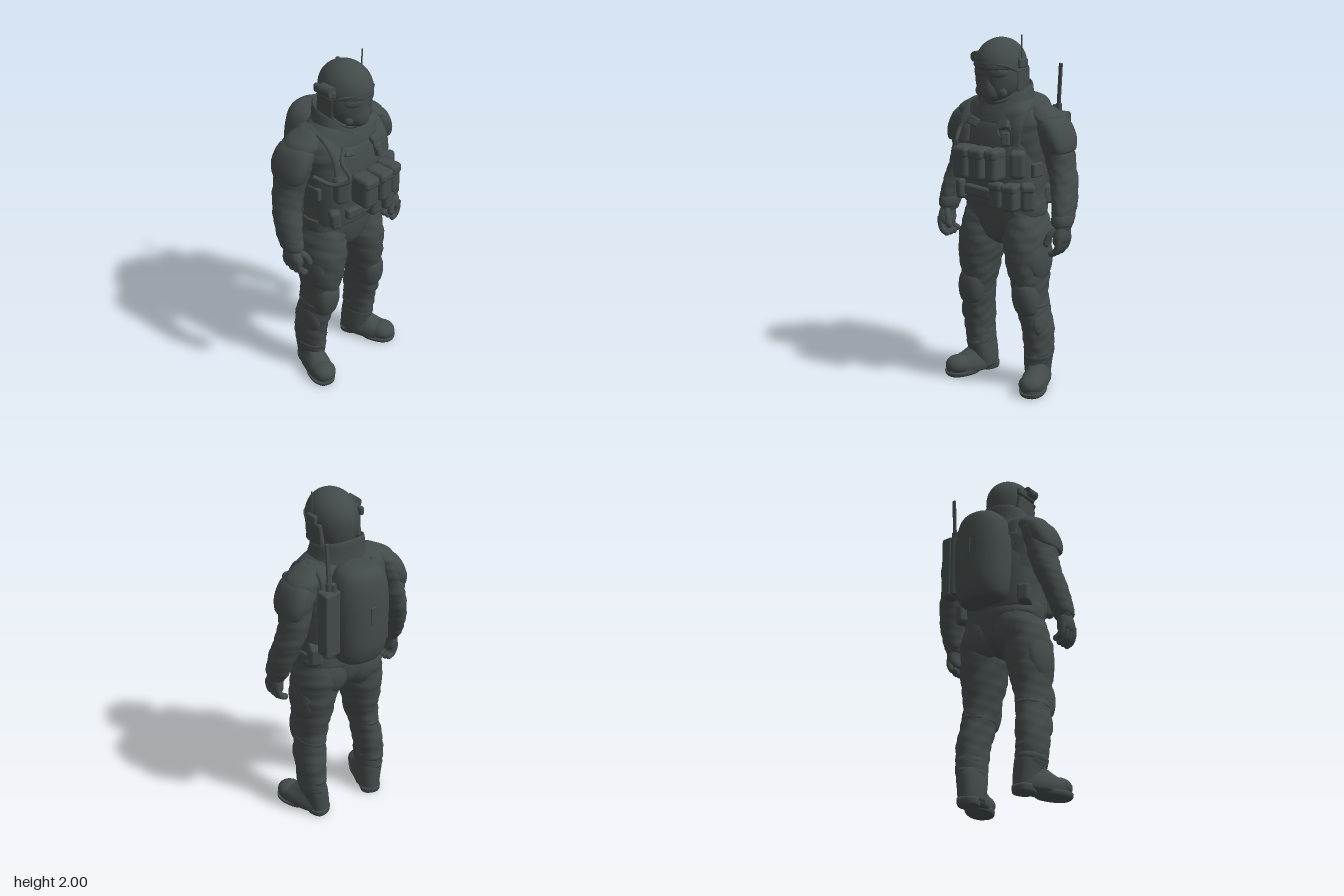
import * as THREE from 'three';
import { RoundedBoxGeometry } from 'three/addons/geometries/RoundedBoxGeometry.js';

const fabric = new THREE.MeshStandardMaterial({ color: 0x434b4a, side: THREE.DoubleSide });
fabric.name = 'dark grey gear';

// Superellipse loft through ascending rings [x, y, z, rx, rz]; fold adds cloth wrinkles
function loft(keys, { n = 2, rows = 4, segs = 28, fold = 0, freq = 70, cap = true } = {}) {
  const pos = [], idx = [], last = (keys.length - 1) * rows;
  const at = (t, c) => {
    const i = Math.min(Math.floor(t), keys.length - 2), f = t - i;
    const k = (j) => keys[Math.max(0, Math.min(keys.length - 1, j))][c];
    const m0 = (k(i + 1) - k(i - 1)) / 2, m1 = (k(i + 2) - k(i)) / 2;
    const f2 = f * f, f3 = f2 * f;
    return k(i) * (2 * f3 - 3 * f2 + 1) + m0 * (f3 - 2 * f2 + f) + k(i + 1) * (3 * f2 - 2 * f3) + m1 * (f3 - f2);
  };
  for (let r = 0; r <= last; r++) {
    const [x, y, z, rx, rz] = [0, 1, 2, 3, 4].map((c) => at(r / rows, c));
    for (let s = 0; s < segs; s++) {
      const a = (s / segs) * Math.PI * 2, c = Math.cos(a), d = Math.sin(a);
      const w = 1 + fold * Math.sin(y * freq + 2.2 * c + 1.6 * Math.sin(2 * a)) * Math.sin(y * freq * .37 + 3 * d - 2 * c);
      pos.push(x + Math.sign(c) * Math.abs(c) ** (2 / n) * rx * w, y, z + Math.sign(d) * Math.abs(d) ** (2 / n) * rz * w);
      if (r < last) {
        const p = r * segs + s, q = r * segs + (s + 1) % segs;
        idx.push(p, p + segs, q, q, p + segs, q + segs);
      }
    }
  }
  if (cap) {
    const b = keys[0], t = keys[keys.length - 1], bi = pos.length / 3;
    pos.push(b[0], b[1], b[2], t[0], t[1], t[2]);
    for (let s = 0; s < segs; s++) {
      const e = (s + 1) % segs;
      idx.push(bi, s, e, bi + 1, last * segs + e, last * segs + s);
    }
  }
  const g = new THREE.BufferGeometry();
  g.setAttribute('position', new THREE.Float32BufferAttribute(pos, 3));
  g.setIndex(idx);
  g.computeVertexNormals();
  return g;
}

export function createModel() {
  const model = new THREE.Group();
  model.name = 'armouredSoldier';
  const add = (name, geo, p = [0, 0, 0], r = [0, 0, 0]) => {
    const m = new THREE.Mesh(geo, fabric);
    m.name = name;
    m.position.set(...p);
    m.rotation.set(...r);
    model.add(m);
    return m;
  };
  const box = (name, size, p, r, rad = 0.015) => add(name, new RoundedBoxGeometry(...size, 2, rad), p, r);
  const ball = (name, size, p, r) => add(name, new THREE.SphereGeometry(1, 20, 14).scale(...size), p, r);
  const rod = (name, rad, h, p, r) => add(name, new THREE.CylinderGeometry(rad, rad, h, 12), p, r);
  const tube = (name, pts, rad, wide = 1, x = 0) => add(name, new THREE.TubeGeometry(
    new THREE.CatmullRomCurve3(pts.map((p) => new THREE.Vector3(...p))), 24, rad, 8).scale(wide, 1, 1), [x, 0, 0]);

  // Jacket, pelvis and vest
  add('pelvis', loft([[0, .835, 0, .04, .07], [0, .89, -.005, .13, .13], [0, 1, -.005, .235, .155], [0, 1.1, 0, .24, .155]], { n: 2.3, fold: .01 }));
  add('jacket', loft([[0, 1.0, -.01, .225, .145], [0, 1.03, -.01, .24, .155], [0, 1.1, 0, .235, .152], [0, 1.25, 0, .235, .155], [0, 1.4, 0, .25, .16],
    [0, 1.5, 0, .262, .16], [0, 1.57, 0, .25, .15], [0, 1.62, 0, .205, .13], [0, 1.66, 0, .145, .11]], { n: 2.5, fold: .03, freq: 60 }));
  add('vest', loft([[0, 1.07, .01, .21, .16], [0, 1.09, .01, .23, .172], [0, 1.3, .01, .232, .18], [0, 1.42, .01, .22, .175],
    [0, 1.52, .01, .18, .155], [0, 1.55, .01, .15, .13]], { n: 2.7 }));

  // Standing collar, higher at the back
  const collar = loft([[0, 1.56, .01, .2, .15], [0, 1.63, .01, .165, .14], [0, 1.7, .0, .15, .128], [0, 1.715, 0, .138, .116], [0, 1.64, .01, .12, .1]], { n: 2.3, cap: false });
  const cp = collar.attributes.position;
  for (let i = 0; i < cp.count; i++) cp.setY(i, cp.getY(i) - .28 * cp.getZ(i) * Math.min(1, (cp.getY(i) - 1.55) * 10));
  collar.computeVertexNormals();
  add('collar', collar);

  // Hooded face with a tapering mask
  add('face', loft([[0, 1.6, .02, .09, .09], [0, 1.65, .07, .075, .09], [0, 1.69, .075, .106, .105], [0, 1.75, .07, .128, .118], [0, 1.83, .06, .128, .132], [0, 1.9, .05, .1, .11]]));
  add('breathingMask', loft([[0, 1.65, .14, .03, .03], [0, 1.67, .14, .055, .05], [0, 1.71, .145, .06, .053], [0, 1.77, .145, .042, .048], [0, 1.84, .15, .02, .04]]));
  for (const s of [-1, 1]) {
    ball('goggleLens', [.055, .036, .026], [s * .055, 1.805, .158], [0, s * .45, 0]);
    ball('maskFilter', [.03, .035, .025], [s * .07, 1.7, .138]);
    box('earCup', [.03, .13, .12], [s * .119, 1.765, .02], [.12, 0, s * -.04], .014);
    tube('chinStrap', [[s * .125, 1.75, .03], [s * .112, 1.69, .075], [s * .06, 1.65, .13], [0, 1.645, .15]], .009);
  }

  // Helmet, cut high over the face and low at the back
  const helmet = new THREE.SphereGeometry(1, 32, 20, 0, Math.PI * 2, 0, Math.PI * .64);
  const hp = helmet.attributes.position;
  for (let i = 0; i < hp.count; i++) {
    const x = hp.getX(i), y = hp.getY(i), z = hp.getZ(i);
    const low = z > .25 ? .03 : .24;
    hp.setXYZ(i, x * .133, 1.83 + (y > 0 ? y ** .95 * .152 : y * low), z * .16 + .047);
  }
  helmet.computeVertexNormals();
  add('helmet', helmet);
  tube('helmetBrow', [[-.128, 1.8, .05], [-.105, 1.84, .142], [0, 1.855, .198], [.105, 1.84, .142], [.128, 1.8, .05]], .009);
  rod('helmetLamp', .03, .075, [-.144, 1.87, .055], [Math.PI / 2, 0, 0]);
  box('lampMount', [.03, .05, .15], [-.133, 1.85, .025]);
  box('helmetRadio', [.03, .05, .075], [.131, 1.85, .035], [0, 0, 0], .01);
  rod('helmetAntenna', .004, .17, [.13, 1.915, .04]);

  // Chest gear
  for (const [x, w, z] of [[-.08, .1, .265], [.025, .092, .272], [.112, .074, .258]]) {
    box('magazinePouch', [w, .165, .125], [x, 1.325, z], [0, x * .5, 0], .025);
    box('pouchFlap', [w + .004, .06, .13], [x, 1.388, z + .003], [0, x * .5, 0], .022);
  }
  for (const x of [.19, -.158]) box('sidePouch', [.085, .15, .1], [x, 1.325, .165], [0, x * 3, 0], .025);
  for (const [x, w, z, a] of [[.075, .08, .175, 0], [.165, .085, .185, .15], [.23, .075, .125, .7]]) {
    box('beltPouch', [w, .15, .1], [x, 1.145, z], [0, a, 0], .022);
    box('beltPouchFlap', [w + .004, .05, .105], [x, 1.195, z + .003], [0, a, 0], .02);
  }
  box('holster', [.18, .06, .04], [-.05, 1.15, .19], [0, 0, -.08]);
  box('holsterGrip', [.06, .11, .07], [-.19, 1.14, .15], [0, -.5, .1], .02);
  box('chestRadio', [.055, .08, .045], [.12, 1.455, .17], [-.2, .3, .15]);
  add('cableLoop', new THREE.TorusGeometry(.038, .008, 8, 20), [.11, 1.5, .175], [-.2, .4, 0]);
  tube('breathingHose', [[-.12, 1.56, .15], [-.17, 1.5, .185], [-.165, 1.42, .24], [-.22, 1.38, .17], [-.28, 1.42, .08]], .012);

  // Backpack, rounded towards the back, with side radio
  add('backpack', loft([[0, 1.09, -.21, .09, .07], [0, 1.105, -.205, .135, .1], [0, 1.2, -.2, .16, .132], [0, 1.4, -.2, .168, .137],
    [0, 1.54, -.2, .155, .13], [0, 1.62, -.2, .12, .108], [0, 1.65, -.2, .065, .06]], { n: 2.25 }));
  box('packHandle', [.035, .1, .012], [0, 1.4, -.334], [0, 0, 0], .005);
  box('radioPouch', [.07, .38, .09], [.222, 1.37, -.225], [0, 0, 0], .015);
  rod('radioCylinder', .04, .36, [.185, 1.37, -.225]);
  rod('radioKnob', .016, .05, [.18, 1.57, -.225]);
  rod('radioAntennaBase', .016, .06, [.205, 1.575, -.217]);
  box('radioAntenna', [.022, .25, .014], [.208, 1.705, -.217], [0, 0, -.05], .005);

  for (const s of [-1, 1]) {
    // Shoulder straps with buckles
    tube('shoulderStrap', [[0, 1.42, .17], [0, 1.52, .15], [0, 1.595, .085], [0, 1.63, -.02], [0, 1.595, -.13], [0, 1.48, -.165]], .013, 3.2, s * .17);
    box('strapBuckle', [.065, .05, .03], [s * .1, 1.53, .165], [-.5, 0, s * .3], .01);
    box('sideBuckle', [.03, .08, .09], [s * .233, 1.28, .04], [0, 0, 0], .01);
    box('hipPouch', [.07, .11, .1], [s * .215, 1.12, -.1], [0, s * -.4, 0], .02);

    // Sleeves and shoulder pads
    add('sleeve', loft([[s * .388, .97, .02, .043, .055], [s * .386, 1.03, .005, .055, .08], [s * .375, 1.12, -.02, .064, .09],
      [s * .35, 1.22, -.05, .071, .092], [s * .322, 1.32, -.06, .074, .1], [s * .3, 1.43, -.05, .08, .112],
      [s * .27, 1.52, -.045, .082, .113], [s * .235, 1.585, -.035, .08, .1], [s * .19, 1.635, -.03, .04, .05]], { fold: .05, freq: 85, rows: 6 }));
    add('shoulderPad', loft([[s * .34, 1.375, -.045, .035, .07], [s * .342, 1.39, -.045, .052, .1], [s * .322, 1.46, -.045, .066, .12],
      [s * .28, 1.545, -.04, .07, .108], [s * .25, 1.59, -.035, .04, .06]], { n: 2.5 }));
    add('cuff', loft([[s * .388, .985, .02, .046, .062], [s * .388, 1.0, .018, .055, .075], [s * .386, 1.04, .01, .057, .078], [s * .384, 1.055, .005, .05, .07]], { rows: 2 }));

    // Gloved hand, fingers curled in
    add('palm', loft([[s * .385, .885, .035, .025, .045], [s * .392, .91, .035, .036, .062], [s * .396, .95, .03, .036, .06], [s * .39, 1.0, .02, .036, .045]], { n: 2.4 }));
    for (let f = 0; f < 4; f++) {
      const z = .085 - f * .033, d = f === 3 ? .012 : 0;
      tube('finger', [[s * .405, .93, z], [s * .402, .885 + d, z], [s * .385, .85 + d, z], [s * .36, .838 + d, z]], .018);
      ball('fingertip', [.018, .018, .018], [s * .36, .838 + d, z]);
    }
    tube('thumb', [[s * .378, .975, .055], [s * .35, .94, .085], [s * .335, .9, .095]], .019);
    ball('thumbTip', [.019, .024, .019], [s * .335, .897, .095]);

    // Trousers with thigh pocket, knee pad and gathered shin
    add('trouserLeg', loft([[s * .2, .13, -.035, .062, .085], [s * .205, .2, -.035, .074, .1], [s * .207, .3, -.03, .078, .105],
      [s * .2, .4, -.015, .079, .113], [s * .187, .5, .005, .078, .116], [s * .175, .6, .012, .09, .123], [s * .165, .72, .012, .108, .145],
      [s * .152, .85, .008, .122, .156], [s * .143, .96, -.005, .114, .152], [s * .13, 1.05, -.005, .09, .13]], { fold: .045, freq: 70, n: 2.2, rows: 6 }));
    ball('seat', [.115, .14, .09], [s * .1, .95, -.075]);
    ball('thighPocket', [.045, .14, .11], [s * .238, .78, .01], [0, 0, s * .05]);
    add('kneePad', loft([[s * .195, .445, .065, .04, .035], [s * .192, .475, .07, .066, .06], [s * .187, .55, .075, .078, .072],
      [s * .182, .62, .075, .07, .068], [s * .178, .67, .07, .04, .04]], { n: 2.2 }));
    const strap = add('kneeStrap', new THREE.TorusGeometry(1, .06, 6, 28), [s * .188, .5, .003], [Math.PI / 2, 0, 0]);
    strap.scale.set(.077, .114, .2);
    ball('shinGuard', [.03, .09, .08], [s * .25, .4, .005], [0, 0, s * .08]);
    for (const y of [.19, .25]) {
      const gather = add('ankleGather', new THREE.TorusGeometry(1, .14, 8, 28), [s * .205, y, -.036], [Math.PI / 2, 0, 0]);
      gather.scale.set(.067, .093, .15);
    }

    // Boots, toes turned outward
    const turn = [0, s * .36, 0];
    add('bootShaft', loft([[s * .185, .03, -.06, .06, .08], [s * .19, .1, -.05, .066, .09], [s * .2, .18, -.04, .069, .098], [s * .2, .215, -.036, .06, .085]], { n: 2.4 }));
    add('bootFoot', loft([[0, .012, 0, .06, .155], [0, .025, 0, .072, .172], [0, .055, 0, .075, .172], [0, .085, -.002, .068, .158], [0, .115, -.035, .055, .112], [0, .15, -.06, .045, .07]], { n: 2.3 }), [s * .225, 0, .025], turn);
    ball('toeCap', [.07, .056, .075], [s * .258, .062, .122], turn);
    add('bootHeel', loft([[0, 0, 0, .055, .055], [0, .01, 0, .06, .06], [0, .04, 0, .062, .062]], { n: 2.6, rows: 2 }), [s * .187, 0, -.08], turn);
    add('bootSole', loft([[0, 0, 0, .064, .1], [0, .01, 0, .073, .11], [0, .03, 0, .075, .113]], { n: 2.3, rows: 2 }), [s * .249, 0, .086], turn);
  }
  return model;
}
